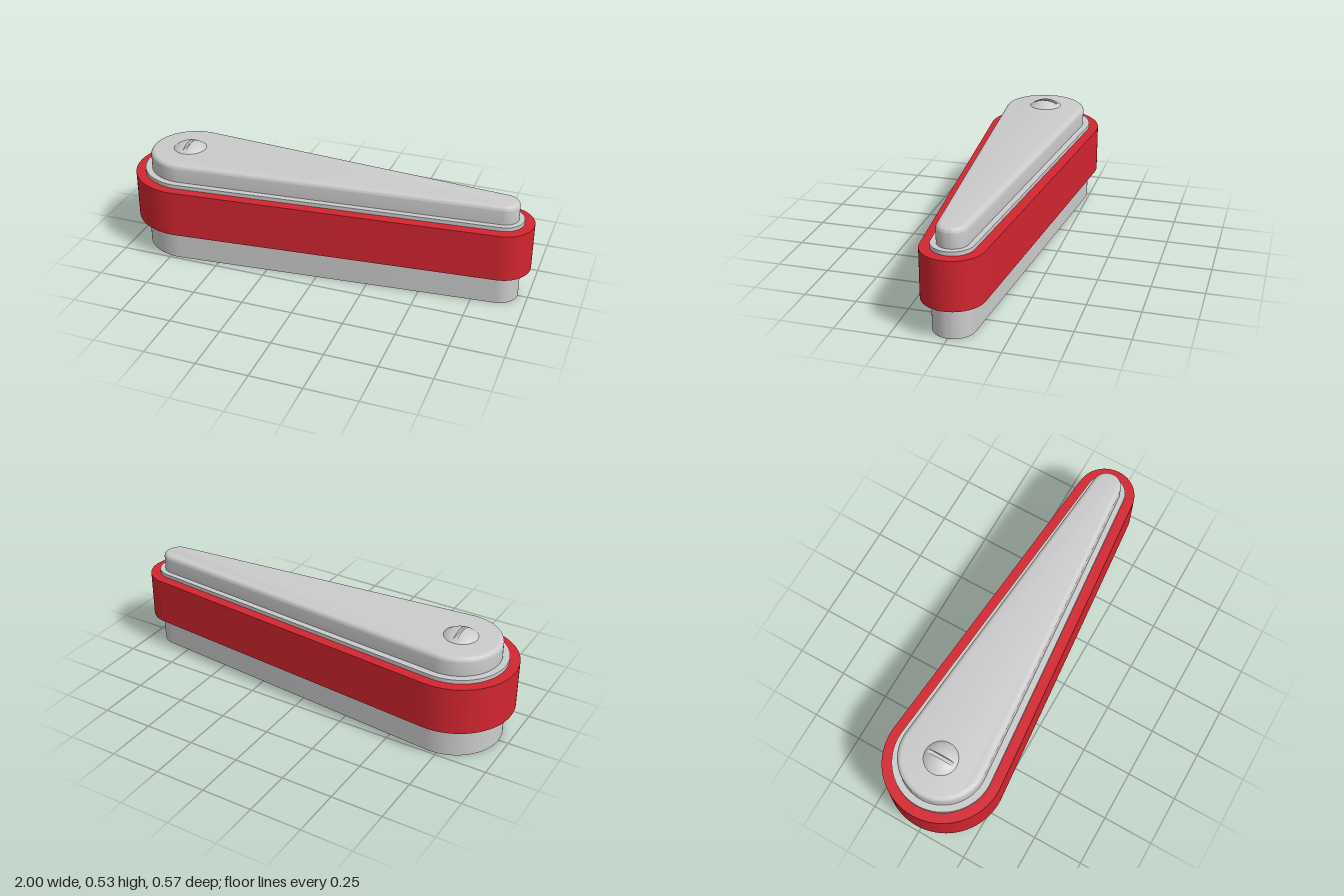
import * as THREE from 'three';
import { toCreasedNormals } from 'three/addons/utils/BufferGeometryUtils.js';
import { ParametricGeometry } from 'three/addons/geometries/ParametricGeometry.js';

const BIG_X = -0.714, SMALL_X = 0.855;

// Outline of a large and a small circle joined by their tangents
function teardrop(bigR, smallR, Target = THREE.Shape) {
  const a = Math.acos((bigR - smallR) / (SMALL_X - BIG_X));
  const outline = new Target();
  outline.absarc(SMALL_X, 0, smallR, -a, a, false);
  outline.absarc(BIG_X, 0, bigR, a, 2 * Math.PI - a, false);
  outline.closePath();
  return outline;
}

// Upright slab from y0 to y1; a bevel keeps the overall height
function slab(name, shape, y0, y1, material, bevel = 0) {
  const raw = new THREE.ExtrudeGeometry(shape, {
    depth: y1 - y0 - 2 * bevel, curveSegments: 32, bevelEnabled: bevel > 0,
    bevelThickness: bevel, bevelSize: bevel, bevelSegments: 6,
  });
  raw.rotateX(-Math.PI / 2).translate(0, y0 + bevel, 0);
  const mesh = new THREE.Mesh(toCreasedNormals(raw, 0.6), material);
  mesh.name = name;
  return mesh;
}

// Domed screw head with a straight slot along z
function makeScrew(material) {
  const screw = new THREE.Group();
  screw.name = 'screw';
  const R = 0.125, top = 0.029, floor = 0.01, rim = 0.08, half = 0.009;
  const capY = r => Math.sqrt(R * R - r * r) - (R - top);
  const floorR = Math.sqrt(R * R - (floor + R - top) ** 2);

  // Lower part of the dome, closed by the slot floor
  const profile = [];
  for (let i = 0; i <= 6; i++) {
    const r = rim + (floorR - rim) * i / 6;
    profile.push(new THREE.Vector2(r, capY(r)));
  }
  const base = new THREE.Mesh(new THREE.LatheGeometry(profile, 48), material);
  base.name = 'screwBase';
  const disc = new THREE.Mesh(new THREE.CircleGeometry(floorR, 48).rotateX(-Math.PI / 2), material);
  disc.position.y = floor;
  disc.name = 'slotFloor';
  screw.add(base, disc);

  // Half domes on either side of the slot, each with a flat slot wall
  const radius = v => floorR + (half - floorR) * v;
  const dome = new ParametricGeometry((u, v, p) => {
    const r = radius(v), a = Math.acos(Math.min(1, half / r)) * (1 - 2 * u);
    p.set(r * Math.cos(a), capY(r), r * Math.sin(a));
  }, 24, 12);
  const wall = new ParametricGeometry((u, v, p) => {
    const r = radius(v), z = Math.sqrt(Math.max(0, r * r - half * half));
    p.set(half, capY(r), z * (2 * u - 1));
  }, 4, 12);
  const twoSided = material.clone();
  twoSided.side = THREE.DoubleSide;
  for (const turn of [0, Math.PI]) {
    const side = new THREE.Group();
    side.name = 'screwHalf';
    side.add(new THREE.Mesh(dome, twoSided), new THREE.Mesh(wall, twoSided));
    side.children[0].name = 'halfDome';
    side.children[1].name = 'slotWall';
    side.rotation.y = turn;
    screw.add(side);
  }
  return screw;
}

export function createModel() {
  const model = new THREE.Group();
  model.name = 'taperedHousing';
  const grey = new THREE.MeshStandardMaterial({ color: 0xcccccc });
  const red = new THREE.MeshStandardMaterial({ color: 0xd32530 });

  // Body
  model.add(slab('body', teardrop(0.238, 0.097), 0, 0.407, grey));

  // Red band around the body
  const band = teardrop(0.286, 0.145);
  band.holes.push(teardrop(0.238, 0.097, THREE.Path));
  model.add(slab('band', band, 0.155, 0.388, red));

  // Lid with a rounded rim; its lower bevel is sunk into the body
  const b = 0.022;
  model.add(slab('lid', teardrop(0.206 - b, 0.071 - b), 0.37, 0.497, grey, b));

  const screw = makeScrew(grey);
  screw.position.set(-0.728, 0.497, 0);
  model.add(screw);
  return model;
}
